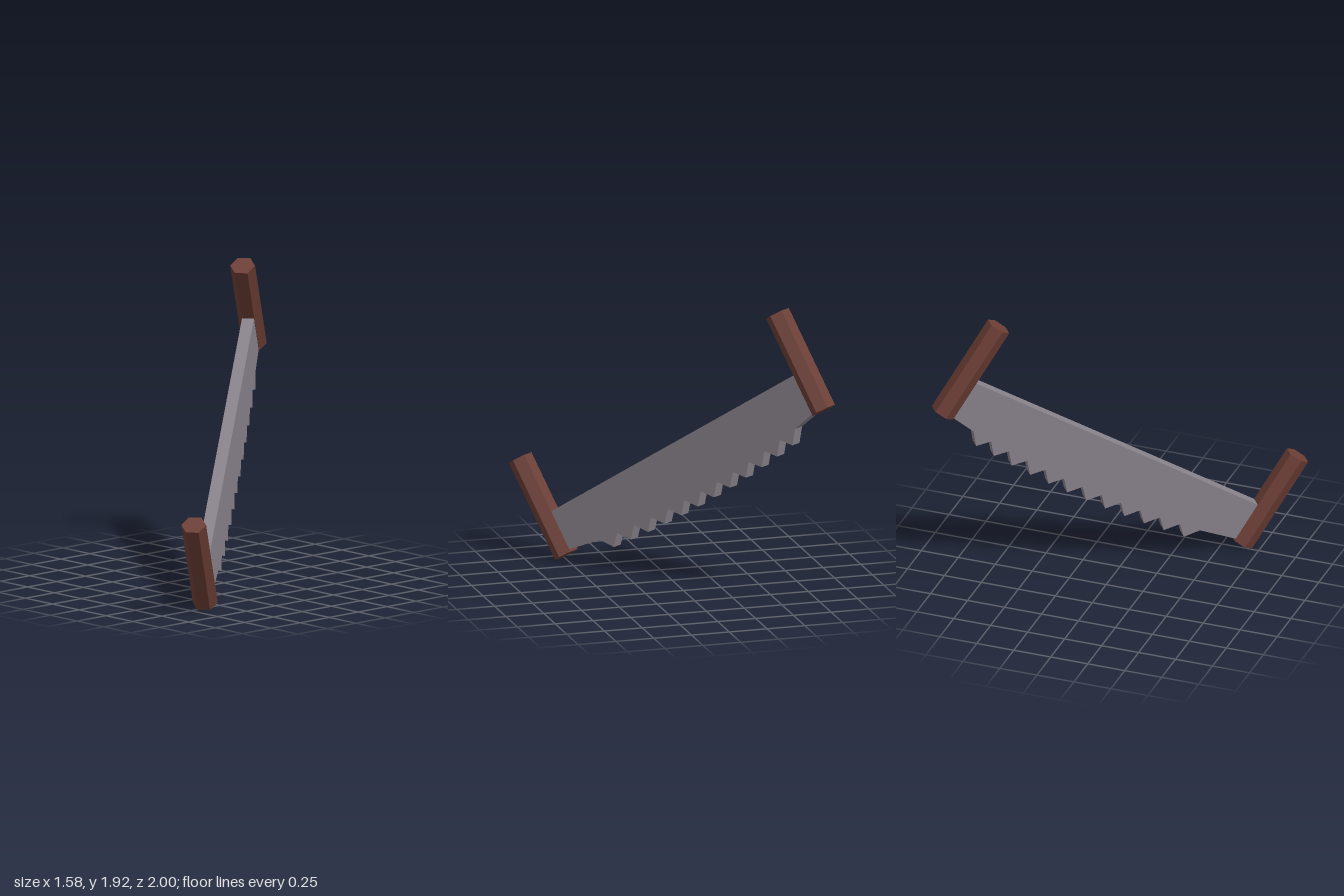
import * as THREE from 'three';

const wood = new THREE.MeshStandardMaterial({ color: 0x6b3d34, flatShading: true });
wood.name = 'brown wood';
const steel = new THREE.MeshStandardMaterial({ color: 0x88828a, flatShading: true });
steel.name = 'grey steel';

const TEETH = 12;
const PITCH = 0.1495;
const THICKNESS = 0.077;
const HANDLE_X = 1.18;

// Toothed lower edge bows gently downward in the middle
const tipY = (x) => -0.487 + 0.06 * x * x;

function createBlade() {
  const shape = new THREE.Shape();
  shape.moveTo(1.15, -0.057);
  shape.lineTo(-1.15, -0.057);
  shape.lineTo(-1.15, -0.325);
  // Alternate notches and tooth tips
  for (let i = 0; i <= TEETH; i++) {
    const tip = (i - (TEETH - 1) / 2) * PITCH - 0.04;
    const notch = tip - PITCH / 2;
    shape.lineTo(notch, tipY(notch) + 0.075);
    if (i < TEETH) shape.lineTo(tip, tipY(tip));
  }
  shape.lineTo(1.15, -0.318);
  shape.closePath();

  const geometry = new THREE.ExtrudeGeometry(shape, { depth: THICKNESS, bevelEnabled: false });
  geometry.translate(0, 0, -THICKNESS / 2);
  const blade = new THREE.Mesh(geometry, steel);
  blade.name = 'blade';
  return blade;
}

// Hexagonal upright grip
function createHandle(name, side) {
  const handle = new THREE.Mesh(new THREE.CylinderGeometry(0.08, 0.08, 0.682, 6), wood);
  handle.name = name;
  handle.position.x = side * HANDLE_X;
  return handle;
}

export function createModel() {
  const saw = new THREE.Group();
  saw.name = 'saw';
  saw.add(createBlade(), createHandle('leftHandle', 1), createHandle('rightHandle', -1));

  // Lean the whole saw diagonally
  const along = new THREE.Vector3(0.615, -0.6375, 0.781).normalize();
  const up = new THREE.Vector3(0.214, 0.575, 0.298);
  const across = new THREE.Vector3().crossVectors(along, up).normalize();
  up.crossVectors(across, along);
  saw.quaternion.setFromRotationMatrix(new THREE.Matrix4().makeBasis(along, up, across));
  saw.position.y = 0.965;

  const model = new THREE.Group();
  model.name = 'twoHandedSaw';
  model.add(saw);
  return model;
}
